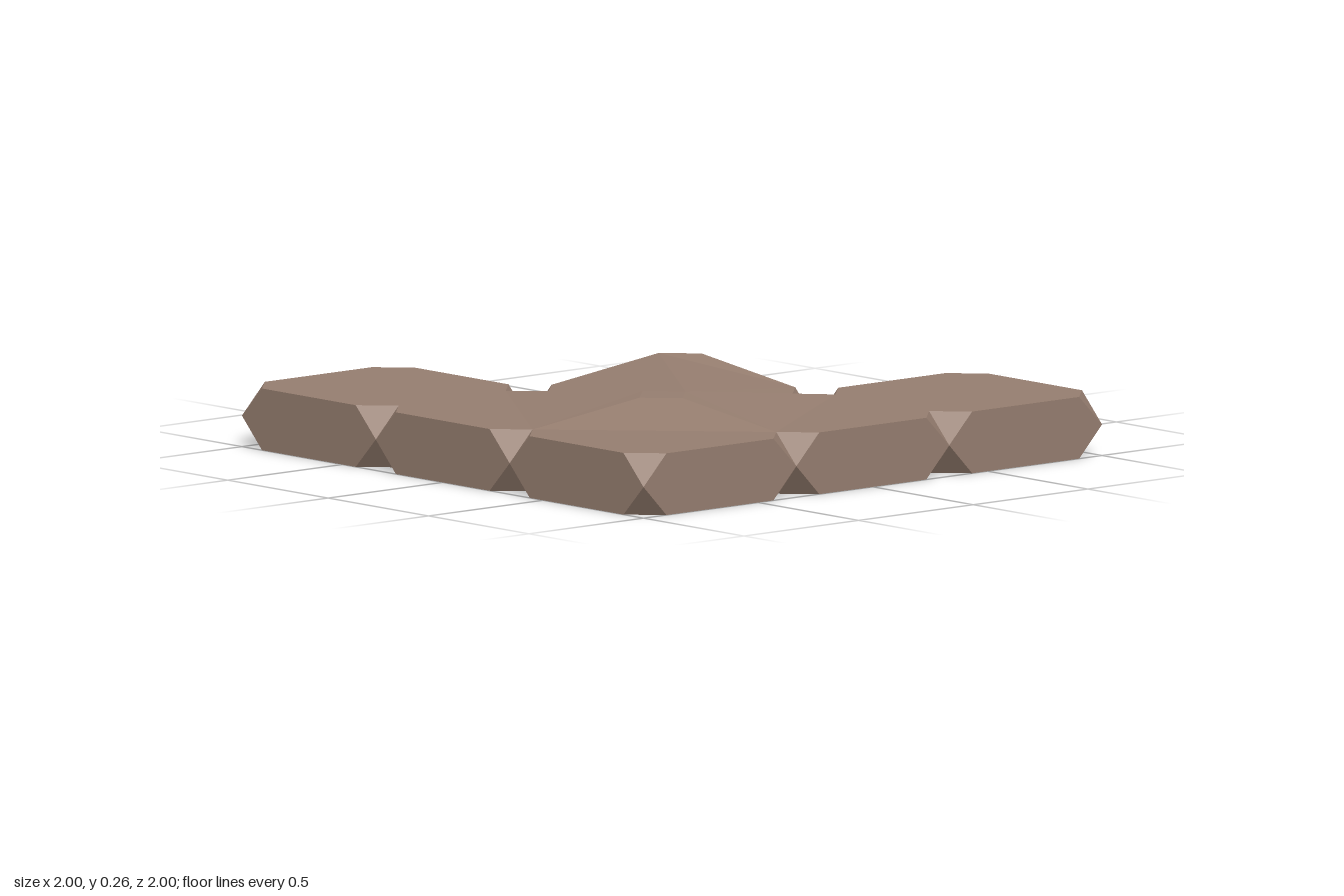
import * as THREE from 'three';

const H = 1 / 3, CUT = 0.1, MID = 0.103, TOP = 0.205, PEAK = 0.262;

// cells of the staircase layout, with the facet pattern of the raised ones
const CELLS = [
  { at: [-1, 1] },
  { at: [0, 1], tris: [[0, 1, 2], [0, 2, 4], [2, 3, 4], [0, 4, 7], [4, 5, 6], [4, 6, 7]], high: [2, 3] },
  { at: [1, 1], tris: [[0, 1, 2], [0, 2, 7], [2, 3, 4], [2, 4, 5], [2, 5, 6], [2, 6, 7]], high: [0, 1] },
  { at: [0, 0], tris: [[0, 4, 7], [7, 4, 6], [6, 4, 5], [0, 1, 2], [0, 2, 4], [2, 3, 4]], high: [0, 1, 4, 5] },
  { at: [1, 0], tris: [[0, 1, 7], [1, 5, 7], [5, 6, 7], [1, 2, 5], [2, 3, 4], [2, 4, 5]], high: [6, 7] },
  { at: [1, -1] },
];
const FAN = [1, 2, 3, 4, 5, 6].map(i => [0, i, i + 1]);
const CORNERS = [[-1, -1], [1, -1], [1, 1], [-1, 1]];
const SIDES = [[0, -1], [1, 0], [0, 1], [-1, 0]];

const isCell = (x, z) => CELLS.some(c => c.at[0] === x && c.at[1] === z);

function facets(name, triangles, material) {
  const geometry = new THREE.BufferGeometry();
  geometry.setAttribute('position', new THREE.Float32BufferAttribute(triangles.flat(2), 3));
  geometry.computeVertexNormals();
  const mesh = new THREE.Mesh(geometry, material);
  mesh.name = name;
  return mesh;
}

// octagon outline of a cell, clockwise seen from above
function outline(cx, cz, height) {
  const a = H, b = H - CUT;
  return [[-a, -b], [-b, -a], [b, -a], [a, -b], [a, b], [b, a], [-b, a], [-a, b]]
    .map(([x, z], i) => [cx + x, height(i), cz + z]);
}

function buildCell({ at: [i, j], tris = FAN, high = [] }, stone, shade) {
  const cx = i * 2 * H, cz = j * 2 * H;
  const top = outline(cx, cz, k => (high.includes(k) ? PEAK : TOP));
  const low = outline(cx, cz, () => 0);
  const corner = CORNERS.map(([x, z]) => [cx + x * H, MID, cz + z * H]);
  const upper = [], walls = [], under = [];

  for (const [a, b, c] of tris) upper.push([top[a], top[c], top[b]]);
  for (const [a, b, c] of FAN) under.push([low[a], low[b], low[c]]);

  for (let k = 0; k < 4; k++) {
    const p = 2 * k, q = p + 1, r = (p + 2) % 8, c = corner[k];
    const inner = Math.abs(c[0] - H) < 1e-6 && Math.abs(c[2] - H) < 1e-6;
    if (inner) {
      // the four cells meet here, so the surface runs on flat
      upper.push([top[p], [c[0], PEAK, c[2]], top[q]].reverse());
      upper[upper.length - 1] = [top[p], top[q], [c[0], PEAK, c[2]]];
      under.push([low[q], low[p], [c[0], 0, c[2]]]);
    } else {
      // cut corners above and below
      walls.push([top[p], top[q], c], [low[q], low[p], c]);
    }
    // outer wall
    if (!isCell(i + SIDES[k][0], j + SIDES[k][1])) {
      const hex = [c, top[q], top[r], corner[(k + 1) % 4], low[r], low[q]];
      for (let n = 1; n < 5; n++) walls.push([hex[0], hex[n], hex[n + 1]]);
    }
  }

  const cell = new THREE.Group();
  cell.name = 'slab';
  cell.add(
    facets('slabTop', upper, stone),
    facets('slabWalls', walls, stone),
    facets('slabUnderside', under, i === 1 ? stone : shade),
  );
  return cell;
}

export function createModel() {
  const stone = new THREE.MeshStandardMaterial({ color: 0x957d6f });
  stone.name = 'brown stone';
  const shade = new THREE.MeshStandardMaterial({ color: 0x5d5461 });
  shade.name = 'dark purple stone';

  const model = new THREE.Group();
  model.name = 'stoneFloor';
  for (const cell of CELLS) model.add(buildCell(cell, stone, shade));
  return model;
}
